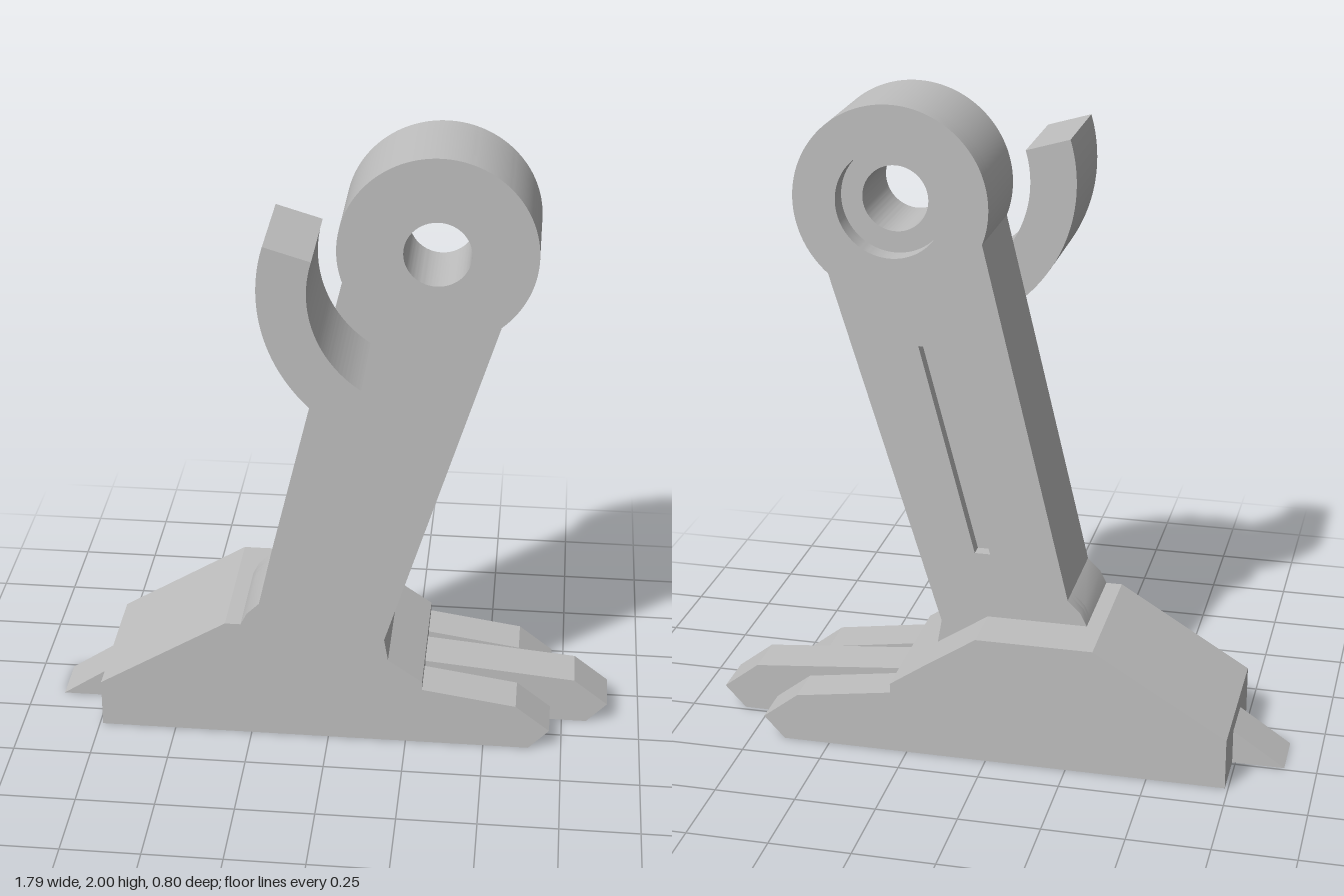
import * as THREE from 'three';
import { toCreasedNormals } from 'three/addons/utils/BufferGeometryUtils.js';

const HUB = [0.318, 1.705];
const rad = THREE.MathUtils.degToRad;

export function createModel() {
  const model = new THREE.Group();
  model.name = 'hookedLegBracket';
  const grey = new THREE.MeshStandardMaterial({ color: 0xbfbfbf });
  grey.name = 'plain grey';

  const polygon = (pts) => new THREE.Shape(pts.map(([x, y]) => new THREE.Vector2(x, y)));

  // Extrude a front profile between two z planes
  function slab(name, shape, z0, z1) {
    const geo = new THREE.ExtrudeGeometry(shape, { depth: z1 - z0, bevelEnabled: false, curveSegments: 64 });
    geo.translate(0, 0, z0);
    const mesh = new THREE.Mesh(toCreasedNormals(geo, rad(20)), grey);
    mesh.name = name;
    model.add(mesh);
  }

  // Leg and round hub in one outline, with a bore and optionally a slot
  function legShape(boreRadius, slotted) {
    const s = polygon([[-0.28, 0.41], [0.03, 0.41], [0.19, 0.305], [0.177, 0.38], [0.51, 1.48]]);
    s.absarc(...HUB, 0.295, rad(-49.5), rad(200.8), false);
    s.lineTo(-0.22, 0.49);
    s.lineTo(-0.26, 0.45);
    s.closePath();
    const bore = new THREE.Path();
    bore.absarc(...HUB, boreRadius, 0, Math.PI * 2, true);
    s.holes.push(bore);
    if (slotted) {
      s.holes.push(polygon([[0.022, 0.62], [0.19, 1.275], [0.238, 1.275], [0.07, 0.62]]));
    }
    return s;
  }
  // Counterbore and slot are cut from the back
  slab('legBackLayer', legShape(0.165, true), -0.235, -0.195);
  slab('legMiddleLayer', legShape(0.165, false), -0.195, -0.172);
  slab('legFrontLayer', legShape(0.1, false), -0.172, 0.082);

  // Foot body
  slab('foot', polygon([[-0.74, 0], [0.3, 0], [0.3, 0.23], [0.19, 0.305],
    [0.03, 0.41], [-0.33, 0.41], [-0.74, 0.16]]), -0.4, 0.082);

  // Three toes, the middle one longer
  const toes = [['frontToe', 0.71, -0.058, 0.082], ['middleToe', 0.895, -0.235, -0.088], ['backToe', 0.71, -0.4, -0.267]];
  for (const [name, tip, z0, z1] of toes) {
    slab(name, polygon([[0.3, 0], [tip - 0.065, 0], [tip, 0.07], [tip - 0.11, 0.155], [0.3, 0.2]]), z0, z1);
  }

  // Heel spur
  slab('heelSpur', polygon([[-0.9, 0], [-0.74, 0], [-0.74, 0.108]]), -0.24, -0.082);

  // Curved hook, concentric with the hub
  const hook = new THREE.Shape();
  hook.absarc(...HUB, 0.49, rad(163.5), rad(236.4), false);
  hook.absarc(...HUB, 0.348, rad(236.4), rad(163.5), true);
  hook.closePath();
  slab('hook', hook, 0.082, 0.4);

  return model;
}
